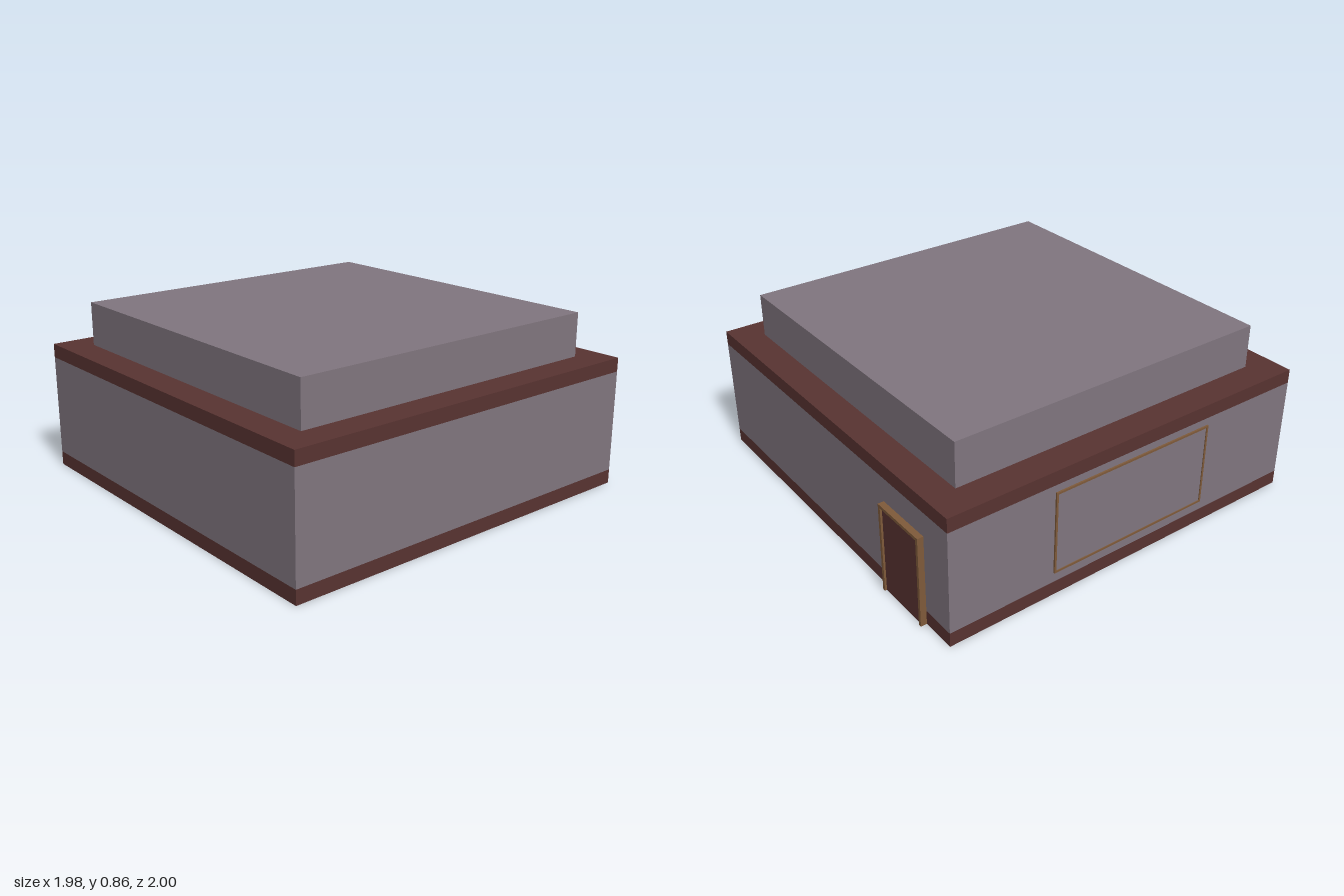
import * as THREE from 'three';

export function createModel() {
  const model = new THREE.Group();
  model.name = 'building';

  const material = (name, color) => {
    const m = new THREE.MeshStandardMaterial({ color });
    m.name = name;
    return m;
  };
  const plaster = material('grey plaster', 0x80757e);
  const trim = material('dark red trim', 0x583331);
  const wood = material('brown wood', 0x7e5a3a);

  // Box given by its lower and upper corners
  const box = (name, mat, [x0, y0, z0], [x1, y1, z1], parent = model) => {
    const mesh = new THREE.Mesh(new THREE.BoxGeometry(x1 - x0, y1 - y0, z1 - z0), mat);
    mesh.position.set((x0 + x1) / 2, (y0 + y1) / 2, (z0 + z1) / 2);
    mesh.name = name;
    parent.add(mesh);
  };

  const L = -0.982, R = 0.986, B = -0.97, F = 0.998; // outer wall planes
  const rim = 0.025;

  // Main storey, roof slab and raised roof block
  box('walls', plaster, [L, 0.07, B], [R, 0.576, F]);
  box('roofSlab', trim, [L, 0.576, B], [R, 0.645, F]);
  box('roofBlock', plaster, [-0.836, 0.645, -0.828], [0.84, 0.863, 0.852]);

  // Base band around the floor
  box('floor', plaster, [L + rim, 0, B + rim], [R - rim, 0.07, F - rim]);
  const base = new THREE.Group();
  base.name = 'baseBand';
  model.add(base);
  box('baseFront', trim, [L, 0, F - rim], [R, 0.07, F], base);
  box('baseBack', trim, [L, 0, B], [R, 0.07, B + rim], base);
  box('baseRight', trim, [L, 0, B + rim], [L + rim, 0.07, F - rim], base);
  box('baseLeft', trim, [R - rim, 0, B + rim], [R, 0.07, F - rim], base);

  // Back door with jambs and lintel
  const door = new THREE.Group();
  door.name = 'door';
  model.add(door);
  const dx0 = -0.81, dx1 = -0.51, dTop = 0.457, jamb = 0.015;
  box('doorPanel', trim, [dx0 + jamb, 0, -0.99], [dx1 - jamb, dTop - jamb, B], door);
  box('jambRight', wood, [dx0, 0, -1], [dx0 + jamb, dTop, B], door);
  box('jambLeft', wood, [dx1 - jamb, 0, -1], [dx1, dTop, B], door);
  box('lintel', wood, [dx0 + jamb, dTop - jamb, -1], [dx1 - jamb, dTop, B], door);

  // Wide window on the right side
  const win = new THREE.Group();
  win.name = 'window';
  model.add(win);
  const z0 = -0.43, z1 = 0.455, y0 = 0.12, y1 = 0.54, bar = 0.01, out = L - 0.008;
  box('windowPane', plaster, [L - 0.004, y0 + bar, z0 + bar], [L, y1 - bar, z1 - bar], win);
  box('windowSill', wood, [out, y0, z0], [L, y0 + bar, z1], win);
  box('windowHead', wood, [out, y1 - bar, z0], [L, y1, z1], win);
  box('windowSideBack', wood, [out, y0 + bar, z0], [L, y1 - bar, z0 + bar], win);
  box('windowSideFront', wood, [out, y0 + bar, z1 - bar], [L, y1 - bar, z1], win);

  return model;
}
